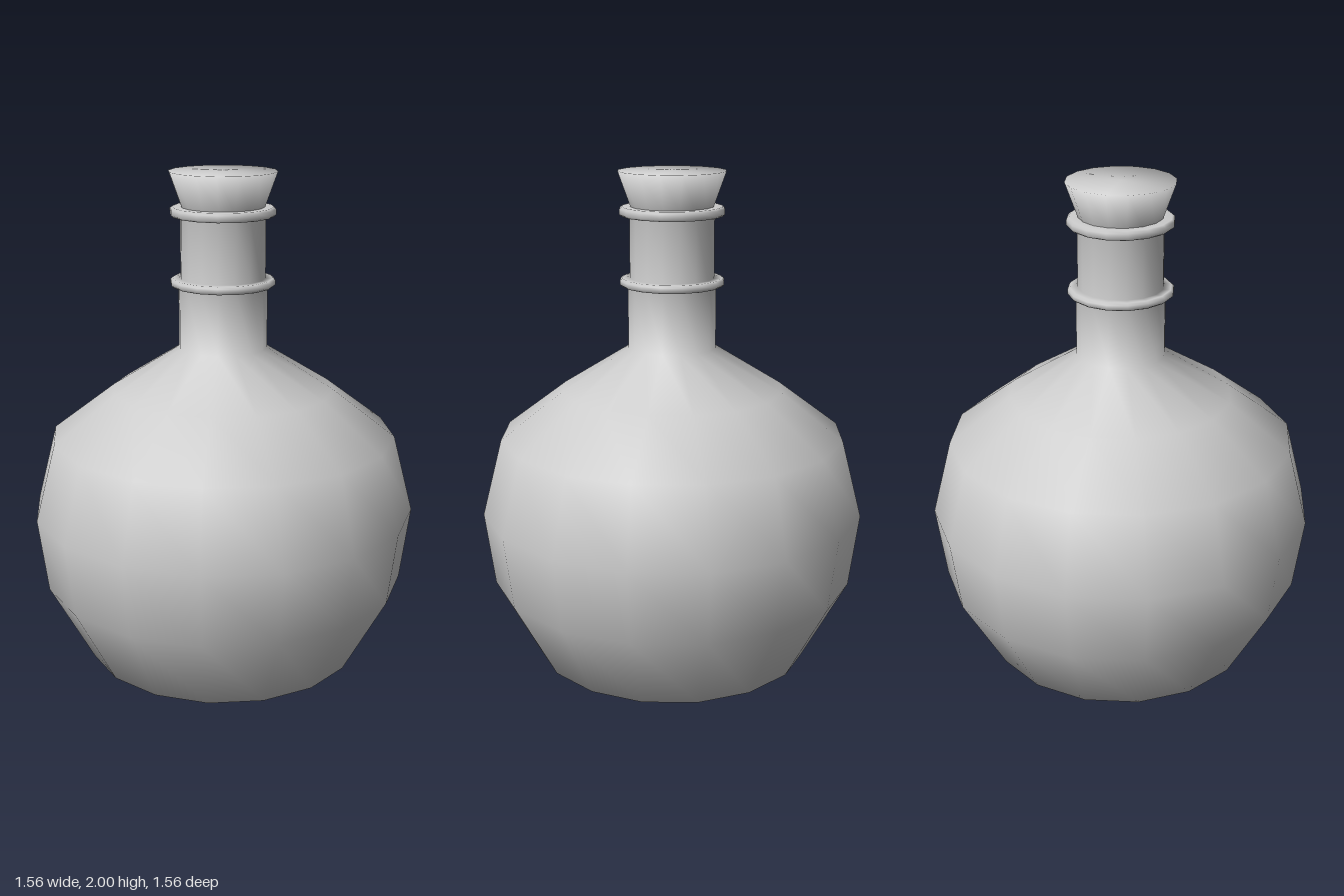
import * as THREE from 'three';

const SIDES = 16;
const material = new THREE.MeshStandardMaterial({ color: 0xcccccc, side: THREE.DoubleSide });

// Smooth turned part from a [radius, height] profile, listed bottom to top
function turned(name, profile) {
  const points = profile.map(([r, y]) => new THREE.Vector2(r, y));
  const mesh = new THREE.Mesh(new THREE.LatheGeometry(points, SIDES), material);
  mesh.name = name;
  return mesh;
}

// Rounded collar standing out from the neck
const collar = (y0, y1, below, above) => [
  [below, y0], [0.2, y0], [0.21, y0 + 0.008], [0.21, y1 - 0.008], [0.2, y1], [above, y1],
];

export function createModel() {
  const group = new THREE.Group();
  group.name = 'flask';

  // Round body with a flat base, running into the neck and its two collars
  group.add(turned('bottle', [
    [0, 0], [0.56, 0], [0.74, 0.33], [0.78, 0.63], [0.7, 0.94], [0.45, 1.13], [0.178, 1.3],
    ...collar(1.549, 1.581, 0.178, 0.17),
    ...collar(1.825, 1.862, 0.17, 0.16),
  ]));

  // Flared stopper with a closed top
  group.add(turned('stopper', [[0.163, 1.855], [0.215, 2], [0, 2]]));

  return group;
}
